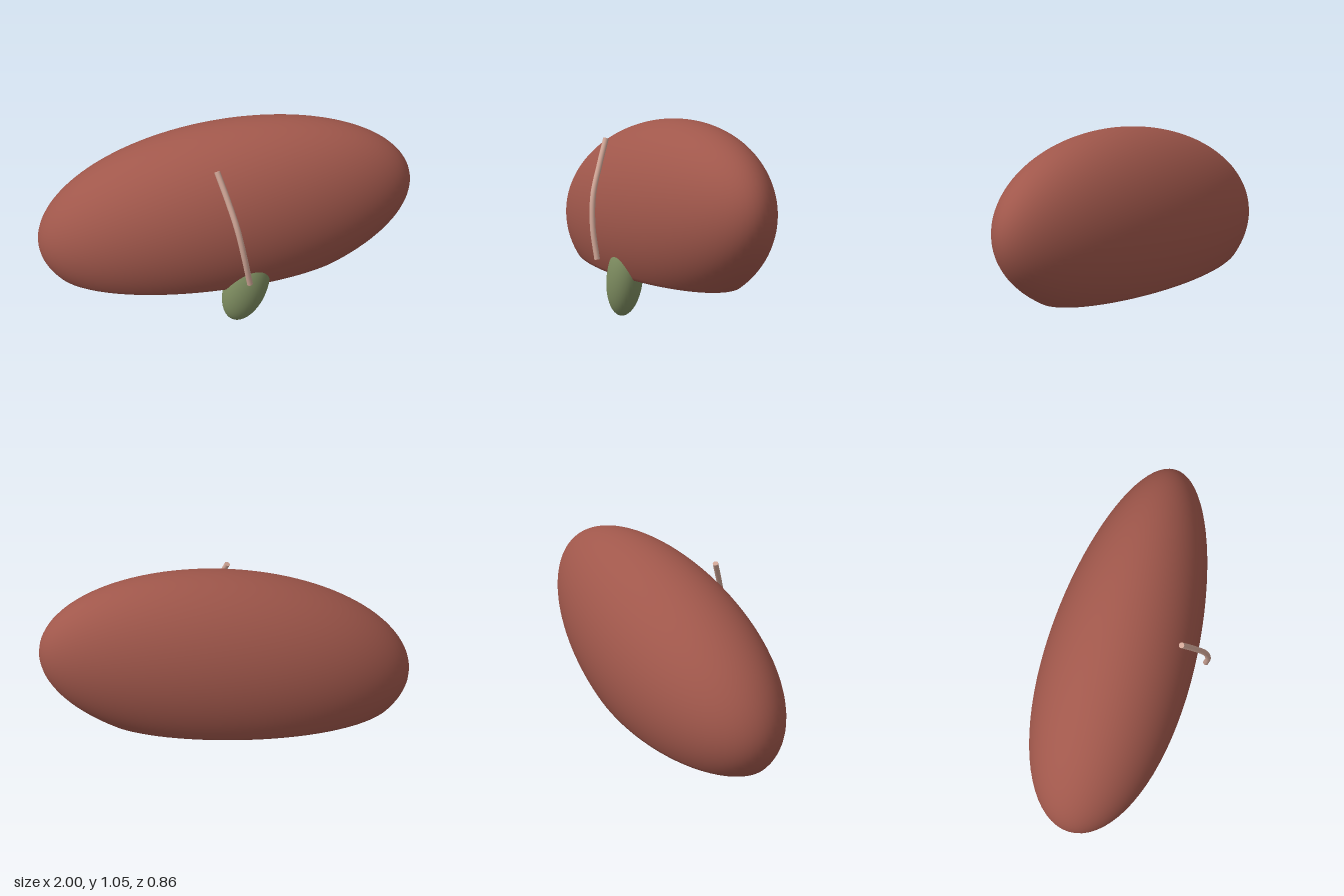
import * as THREE from 'three';
import { mergeVertices } from 'three/addons/utils/BufferGeometryUtils.js';

const material = (name, color) => {
  const m = new THREE.MeshStandardMaterial({ color });
  m.name = name;
  return m;
};

// Sheared, tapered ellipsoid cut by a tilted rim; the underside runs inward to one pole
function liverGeometry() {
  const sphere = new THREE.SphereGeometry(1, 80, 60);
  const pos = sphere.attributes.position;
  const rimAt = 0.8;
  for (let i = 0; i < pos.count; i++) {
    const phi = Math.atan2(pos.getZ(i), pos.getX(i));
    const u = Math.acos(THREE.MathUtils.clamp(pos.getY(i), -1, 1)) / Math.PI;
    const rimAngle = Math.PI - Math.asin(0.81 - 0.11 * Math.cos(phi));
    const theta = Math.min(u / rimAt, 1) * rimAngle;
    const inward = u > rimAt ? Math.pow((1 - u) / (1 - rimAt), 1.5) : 1;
    const X = Math.sin(theta) * Math.cos(phi);
    const Z = Math.sin(theta) * Math.sin(phi) * (1 - 0.12 * X);
    const y = u > 0.9999 ? 0.225 : 0.52 + 0.15 * X + 0.508 * Math.cos(theta);
    pos.setXYZ(i, X * inward, y, -0.033 + 0.395 * Z * inward);
  }
  sphere.deleteAttribute('uv');
  sphere.deleteAttribute('normal');
  const geometry = mergeVertices(sphere, 1e-5);
  geometry.computeVertexNormals();
  return geometry;
}

export function createModel() {
  const group = new THREE.Group();
  group.name = 'liverModel';
  const add = (name, geometry, mat) => {
    const mesh = new THREE.Mesh(geometry, mat);
    mesh.name = name;
    group.add(mesh);
    return mesh;
  };

  add('liver', liverGeometry(), material('liver red', 0xa0574b));

  // Gallbladder leaning toward +x, its top buried in the liver
  const gallbladder = add('gallbladder', new THREE.SphereGeometry(1, 40, 28), material('gallbladder green', 0x7f8e61));
  gallbladder.scale.set(0.115, 0.222, 0.09);
  gallbladder.rotation.z = -0.295;
  gallbladder.position.set(0.103, 0.217, 0.25);

  // Ligament cord arching over the front, with closed ends
  const cordMaterial = material('ligament tan', 0xcfa596);
  const path = new THREE.CatmullRomCurve3([
    [-0.05, 0.935, 0.285], [0.0, 0.8, 0.345], [0.045, 0.66, 0.398],
    [0.08, 0.5, 0.416], [0.11, 0.337, 0.406],
  ].map((p) => new THREE.Vector3(...p)));
  add('ligament', new THREE.TubeGeometry(path, 40, 0.015, 14), cordMaterial);
  for (const t of [0, 1]) {
    const cap = add('ligamentEnd', new THREE.CircleGeometry(0.015, 14), cordMaterial);
    const outward = path.getTangent(t).multiplyScalar(t ? 1 : -1);
    cap.position.copy(path.getPoint(t));
    cap.quaternion.setFromUnitVectors(new THREE.Vector3(0, 0, 1), outward);
  }
  return group;
}
